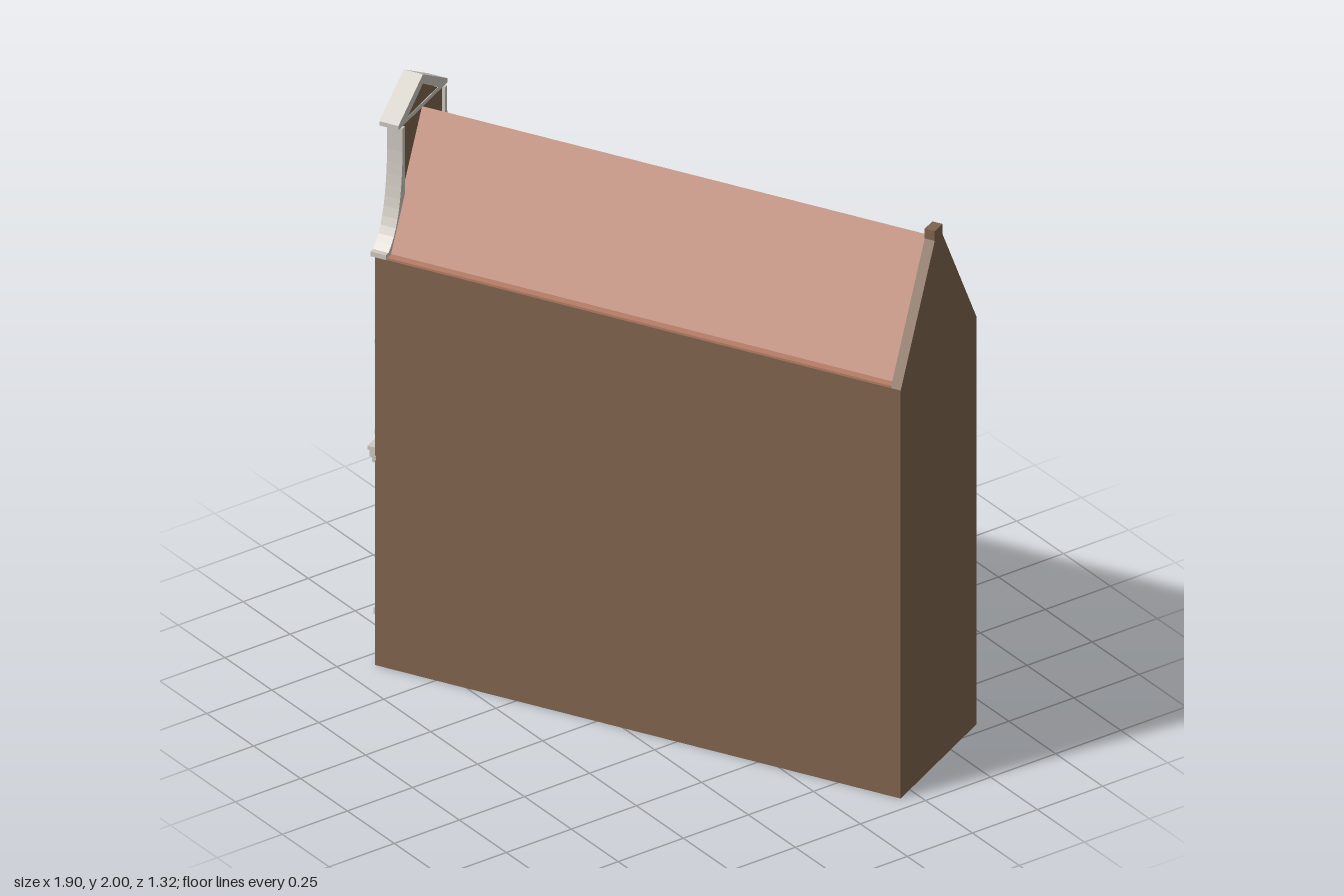
import * as THREE from 'three';

const mat = (color) => new THREE.MeshStandardMaterial({ color, flatShading: true });
const BRICK = mat(0x80644e), ROOF = mat(0xb67e68), STONE = mat(0xcfc9c0);
const GREEN = mat(0x1b4a2c), GLASS = mat(0x77777a), DARK = mat(0x2b2f2d);
const FRONT = 0.91, BACK = -0.929, HW = 0.26, EAVES = 1.475, RIDGE = 1.885;

export function createModel() {
  const model = new THREE.Group();
  model.name = 'canalHouse';
  const house = new THREE.Group();
  house.name = 'house';
  house.rotation.y = -1.095; // the house stands askew on its plot
  model.add(house);

  const add = (name, geo, material, parent = house) => {
    const m = new THREE.Mesh(geo, material);
    m.name = name;
    parent.add(m);
    return m;
  };
  // box given by its x, y and z ranges
  const box = (name, material, x0, x1, y0, y1, z0, z1, parent) =>
    add(name, new THREE.BoxGeometry(x1 - x0, y1 - y0, z1 - z0), material, parent)
      .position.set((x0 + x1) / 2, (y0 + y1) / 2, (z0 + z1) / 2);
  // flat piece fixed to the facade, standing out by d
  const onFront = (name, material, x0, x1, y0, y1, d, parent) =>
    box(name, material, x0, x1, y0, y1, FRONT - 0.005, FRONT + d, parent);
  const shapeOf = (pts) => new THREE.Shape(pts.map(([x, y]) => new THREE.Vector2(x, y)));
  const extrude = (name, material, shape, z0, z1) => {
    const geo = new THREE.ExtrudeGeometry(shape, { depth: z1 - z0, bevelEnabled: false, curveSegments: 10 });
    add(name, geo.translate(0, 0, z0), material);
  };
  // frame of four bars around an opening
  const frame = (x0, x1, y0, y1, t, d, parent) => {
    onFront('frameLeft', STONE, x0, x0 + t, y0, y1, d, parent);
    onFront('frameRight', STONE, x1 - t, x1, y0, y1, d, parent);
    onFront('frameTop', STONE, x0 + t, x1 - t, y1 - t, y1, d, parent);
    onFront('frameBottom', STONE, x0 + t, x1 - t, y0, y0 + t, d, parent);
  };
  const group = (name) => {
    const g = new THREE.Group();
    g.name = name;
    house.add(g);
    return g;
  };

  // walls
  const roofFront = 0.877, roofBack = -0.894;
  box('walls', BRICK, -HW, HW, 0, EAVES - 0.008, BACK, FRONT);

  // roof with a flat strip along both eaves
  box('eavesStrip', ROOF, -HW, HW, EAVES - 0.008, EAVES, roofBack, roofFront);
  extrude('roof', ROOF, shapeOf([[-0.235, EAVES - 0.004], [0.235, EAVES - 0.004], [0, RIDGE]]), roofBack, roofFront);

  // rear gable with its square top
  extrude('rearGable', BRICK, shapeOf([
    [-HW, EAVES - 0.008], [HW, EAVES - 0.008], [0.026, RIDGE], [0.026, 1.92],
    [-0.026, 1.92], [-0.026, RIDGE],
  ]), BACK, roofBack);

  // neck gable
  box('facadeTop', BRICK, -HW, HW, EAVES - 0.008, EAVES, roofFront, FRONT);
  box('neck', BRICK, -0.145, 0.145, EAVES, 1.89, roofFront, FRONT);
  onFront('frieze', STONE, -0.15, 0.15, 1.83, 1.885, 0.008);

  // concave claw pieces on both sides of the neck
  for (const s of [-1, 1]) {
    const claw = new THREE.Shape();
    claw.moveTo(s * 0.125, EAVES - 0.004);
    claw.lineTo(s * 0.268, EAVES - 0.004);
    claw.lineTo(s * 0.268, 1.488);
    claw.lineTo(s * 0.25, 1.488);
    claw.bezierCurveTo(s * 0.18, 1.54, s * 0.16, 1.65, s * 0.153, 1.8);
    claw.lineTo(s * 0.153, RIDGE);
    claw.lineTo(s * 0.137, RIDGE);
    claw.lineTo(s * 0.137, 1.62);
    extrude(s < 0 ? 'clawRight' : 'clawLeft', STONE, claw, 0.867, 0.921);
  }

  // pediment with a recessed brick field
  const pediment = shapeOf([[-0.168, RIDGE], [0.168, RIDGE], [0.168, 1.9], [0, 2], [-0.168, 1.9]]);
  pediment.holes.push(new THREE.Path([[-0.105, 1.9], [0, 1.967], [0.105, 1.9]].map(([x, y]) => new THREE.Vector2(x, y))));
  extrude('pediment', STONE, pediment, 0.874, 0.941);
  extrude('pedimentField', BRICK, shapeOf([[-0.11, 1.895], [0.11, 1.895], [0, 1.97]]), 0.876, 0.918);

  // shuttered attic window
  const attic = group('atticWindow');
  frame(-0.075, 0.075, 1.49, 1.7, 0.014, 0.012, attic);
  onFront('shutter', GREEN, -0.061, 0.061, 1.504, 1.686, 0.006, attic);
  onFront('sill', STONE, -0.085, 0.085, 1.488, 1.5, 0.016, attic);

  // sash windows on two floors
  for (const [y0, y1] of [[0.815, 1.07], [1.14, 1.385]]) {
    for (const cx of [-0.138, 0.138]) {
      const win = group('sashWindow');
      const x0 = cx - 0.083, x1 = cx + 0.083, mid = y0 + (y1 - y0) * 0.66;
      frame(x0, x1, y0, y1, 0.012, 0.012, win);
      onFront('sash', GREEN, x0 + 0.012, x1 - 0.012, y0 + 0.012, y1 - 0.012, 0.004, win);
      onFront('transom', GREEN, x0 + 0.012, x1 - 0.012, mid - 0.006, mid + 0.006, 0.009, win);
      onFront('sill', STONE, x0 - 0.008, x1 + 0.008, y0 - 0.004, y0 + 0.012, 0.016, win);
      for (let i = 0; i < 3; i++) {
        const px = x0 + 0.022 + i * 0.044;
        onFront('lowerPane', i === 1 ? DARK : GLASS, px, px + 0.034, y0 + 0.022, mid - 0.012, 0.006, win);
        onFront('upperPane', GLASS, px, px + 0.034, mid + 0.012, y1 - 0.02, 0.006, win);
      }
    }
  }

  // moulded cornice above the ground floor
  [[0.728, 0.745, 0.01], [0.745, 0.768, 0.018], [0.768, 0.782, 0.025]].forEach(([y0, y1, d]) =>
    onFront('cornice', STONE, -HW, HW, y0, y1, d));

  // front door with step and lights above
  const door = group('frontDoor');
  onFront('doorPlinth', STONE, -0.225, -0.055, 0, 0.145, 0.012, door);
  frame(-0.225, -0.055, 0.145, 0.728, 0.014, 0.01, door);
  onFront('doorLeaf', GREEN, -0.211, -0.069, 0.145, 0.41, 0.004, door);
  onFront('doorLight', GLASS, -0.211, -0.069, 0.42, 0.53, 0.004, door);
  onFront('fanLight', GLASS, -0.211, -0.069, 0.54, 0.714, 0.004, door);
  for (const y of [0.41, 0.53]) onFront('doorRail', STONE, -0.211, -0.069, y, y + 0.01, 0.01, door);

  // shop window
  const shop = group('shopWindow');
  onFront('shopBase', GREEN, 0.02, 0.215, 0, 0.166, 0.01, shop);
  onFront('shopSill', STONE, 0.0, 0.235, 0.166, 0.19, 0.018, shop);
  frame(0.02, 0.215, 0.19, 0.728, 0.012, 0.01, shop);
  onFront('shopGlass', GLASS, 0.032, 0.203, 0.2, 0.455, 0.004, shop);
  onFront('shopPanel', STONE, 0.01, 0.225, 0.455, 0.535, 0.012, shop);
  onFront('upperGlass', GLASS, 0.032, 0.203, 0.535, 0.718, 0.004, shop);

  return model;
}
